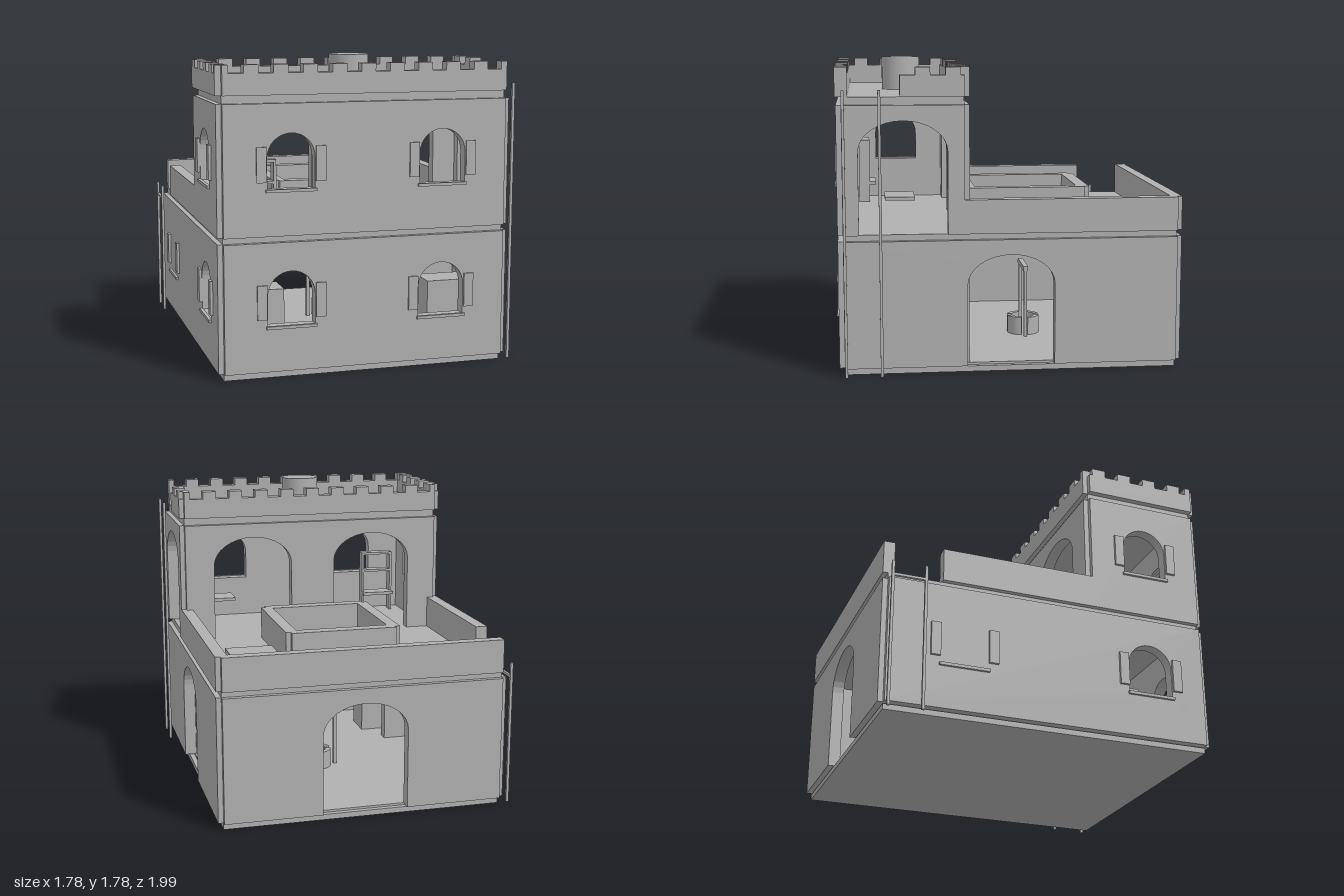
import * as THREE from 'three';

const stone = new THREE.MeshStandardMaterial({ color: 0xb0b0b0 });
stone.name = 'stone';
const T = 0.07; // wall thickness

export function createModel() {
  const model = new THREE.Group();
  model.name = 'courtyardHouse';

  const add = (name, geometry) => {
    const mesh = new THREE.Mesh(geometry, stone);
    mesh.name = name;
    model.add(mesh);
    return mesh;
  };
  // Box given by its limits on each axis
  const box = (name, x0, x1, y0, y1, z0, z1) => {
    const mesh = add(name, new THREE.BoxGeometry(x1 - x0, y1 - y0, z1 - z0));
    mesh.position.set((x0 + x1) / 2, (y0 + y1) / 2, (z0 + z1) / 2);
    return mesh;
  };
  // Wall outline in (u, y) with floor-standing arches and arched windows
  const wallShape = (u0, u1, y0, y1, arches = [], windows = []) => {
    const shape = new THREE.Shape();
    shape.moveTo(u0, y0);
    for (const c of arches) {
      shape.lineTo(c - 0.25, y0);
      shape.lineTo(c - 0.25, y0 + 0.47);
      shape.absellipse(c, y0 + 0.47, 0.25, 0.173, Math.PI, 0, true);
      shape.lineTo(c + 0.25, y0);
    }
    shape.lineTo(u1, y0);
    shape.lineTo(u1, y1);
    shape.lineTo(u0, y1);
    shape.closePath();
    for (const c of windows) {
      const hole = new THREE.Path();
      hole.moveTo(c + 0.135, y0 + 0.258);
      hole.lineTo(c + 0.135, y0 + 0.435);
      hole.absellipse(c, y0 + 0.435, 0.135, 0.133, 0, Math.PI, false);
      hole.lineTo(c - 0.135, y0 + 0.258);
      hole.closePath();
      shape.holes.push(hole);
    }
    return new THREE.ExtrudeGeometry(shape, { depth: T, bevelEnabled: false, curveSegments: 8 });
  };
  // Wall across x, starting at z
  const wallX = (name, z, ...args) => add(name, wallShape(...args).translate(0, 0, z));
  // Wall along z, its larger x face at x
  const wallZ = (name, x, ...args) => add(name, wallShape(...args).rotateY(-Math.PI / 2).translate(x, 0, 0));

  // Slabs
  box('baseSlab', -0.82, 0.82, 0, 0.032, -0.96, 0.95);
  box('groundFloor', -0.79, 0.79, 0.032, 0.045, -0.93, 0.92);
  const floor = new THREE.Shape();
  floor.moveTo(-0.82, -0.95).lineTo(0.82, -0.95).lineTo(0.82, 0.96).lineTo(-0.82, 0.96).closePath();
  floor.holes.push(new THREE.Path().moveTo(-0.28, -0.16).lineTo(-0.28, 0.46)
    .lineTo(0.28, 0.46).lineTo(0.28, -0.16).closePath());
  add('terraceFloor', new THREE.ExtrudeGeometry(floor, { depth: 0.035, bevelEnabled: false })
    .rotateX(-Math.PI / 2).translate(0, 0.77, 0));
  box('roofSlab', -0.82, 0.82, 1.535, 1.58, 0.265, 0.95);

  // Ground storey walls, with notched corners
  const G = 0.04, G1 = 0.77;
  wallX('lowerFrontWall', 0.91, -0.82, 0.82, G, G1, [], [-0.44, 0.44]);
  wallX('lowerBackWall', -0.99, -0.82, 0.82, G, G1, [0]);
  wallZ('lowerLeftWall', 0.85, -0.96, 0.95, G, G1, [0]);
  wallZ('lowerRightWall', -0.78, -0.96, 0.95, G, G1, [], [0.61]);
  wallX('lowerInnerWall', 0.235, -0.78, 0.78, G, G1, [-0.245]);

  // Upper storey walls
  const U = 0.805, U1 = 1.535;
  wallX('upperFrontWall', 0.91, -0.82, 0.82, U, U1, [], [-0.44, 0.44]);
  wallX('upperBackWall', 0.235, -0.82, 0.82, U, U1, [-0.39, 0.39]);
  wallZ('upperLeftWall', 0.85, 0.265, 0.95, U, U1, [0.61]);
  wallZ('upperRightWall', -0.78, 0.265, 0.95, U, U1, [], [0.61]);

  // Terrace parapet, open at one corner for the ladder
  box('terraceBackParapet', -0.82, 0.82, U, 1.0, -0.99, -0.925);
  box('terraceLeftParapet', 0.78, 0.85, U, 1.0, -0.96, 0.265);
  box('terraceRightParapet', -0.85, -0.78, U, 1.0, -0.65, 0.265);

  // Light well parapet
  for (const s of [-1, 1]) {
    box('lightWellSide', s * 0.315 - 0.035, s * 0.315 + 0.035, U, 1.0, -0.505, 0.2);
  }
  box('lightWellBack', -0.32, 0.32, U, 1.0, -0.535, -0.46);
  box('lightWellFront', -0.32, 0.32, U, 1.0, 0.16, 0.235);

  // Roof parapet with merlons
  const P = 1.58, P1 = 1.7, M = 1.745, cell = 1.57 / 19;
  for (const z of [0.235, 0.915]) {
    box('roofParapet', -0.82, 0.82, P, P1, z, z + T);
    for (let i = 1; i < 19; i += 2) {
      const x = -0.785 + i * cell;
      box('merlon', x, x + cell, P1, M, z, z + T);
    }
    for (const x of [-0.82, 0.785]) box('cornerMerlon', x, x + 0.035, P1, M, z, z + T);
  }
  box('roofRightParapet', -0.855, -0.785, P, P1, 0.265, 0.955);
  box('roofLeftParapet', 0.78, 0.85, P, P1, 0.265, 0.625);
  for (let i = 0; i < 4; i++) {
    const z = 0.285 + i * 0.17;
    box('merlon', -0.855, -0.785, P1, M, z, z + 0.085);
    if (i < 2) box('merlon', 0.78, 0.85, P1, M, z, z + 0.085);
  }
  box('cornerMerlon', -0.855, -0.785, P1, M, 0.92, 0.955);
  const tank = add('roofTank', new THREE.CylinderGeometry(0.115, 0.115, 0.2, 32));
  tank.position.set(0, 1.68, 0.595);

  // Shutters and sills
  for (const y of [G, U]) {
    for (const c of [-0.44, 0.44]) {
      box('sill', c - 0.145, c + 0.145, y + 0.245, y + 0.262, 0.975, 0.995);
      for (const s of [-1, 1]) {
        const x = c + s * 0.168;
        box('shutter', x - 0.028, x + 0.028, y + 0.3, y + 0.495, 0.978, 0.99);
      }
    }
    for (const c of y === G ? [0.61, -0.52] : [0.61]) {
      box('sideSill', -0.865, -0.845, y + 0.245, y + 0.262, c - 0.145, c + 0.145);
      for (const s of [-1, 1]) {
        const z = c + s * 0.168;
        box('sideShutter', -0.866, -0.848, y + 0.3, y + 0.495, z - 0.028, z + 0.028);
      }
    }
  }

  // Ladder poles
  for (const z of [0.74, 0.94]) box('tallLadderPole', 0.872, 0.888, 0, 1.62, z - 0.008, z + 0.008);
  for (const z of [-0.95, -0.76]) box('shortLadderPole', -0.893, -0.877, 0, 0.85, z - 0.008, z + 0.008);
  box('ladderRung', -0.893, -0.877, 0.76, 0.775, -0.95, -0.76);

  // Water well in four arcs with a crossbar
  const arc = new THREE.Shape();
  arc.absarc(0, 0, 0.1, 0.2, Math.PI / 2 - 0.2, false);
  arc.absarc(0, 0, 0.07, Math.PI / 2 - 0.2, 0.2, true);
  arc.closePath();
  for (let i = 0; i < 4; i++) {
    const part = add('wellRing', new THREE.ExtrudeGeometry(arc, { depth: 0.115, bevelEnabled: false, curveSegments: 8 })
      .rotateX(-Math.PI / 2).rotateY(i * Math.PI / 2));
    part.position.set(0.09, 0.04, -0.16);
  }
  box('wellCrossbar', -0.05, 0.23, 0.46, 0.49, -0.175, -0.145);
  for (const x of [-0.04, 0.22]) box('wellPost', x - 0.01, x + 0.01, 0.04, 0.46, -0.17, -0.15);

  // Furniture
  box('terraceTable', 0.445, 0.72, U, 0.94, -0.775, -0.545);
  const stool = add('terraceStool', new THREE.CylinderGeometry(0.065, 0.065, 0.08, 24));
  stool.position.set(0.665, 0.845, -0.815);
  box('tableTop', 0.45, 0.69, 0.98, 1.0, 0.54, 0.71);
  box('lowerChest', -0.62, -0.4, 0.04, 0.43, 0.45, 0.65);
  box('lowerCounter', 0.485, 0.75, 0.04, 0.42, 0.45, 0.65);
  box('chairSeat', -0.71, -0.495, 0.92, 0.94, 0.75, 0.86);
  for (const x of [-0.71, -0.51]) box('chairPost', x, x + 0.015, U, 1.215, 0.79, 0.86);
  for (const y of [1.08, 1.2]) box('chairRail', -0.71, -0.495, y, y + 0.015, 0.79, 0.86);

  return model;
}
